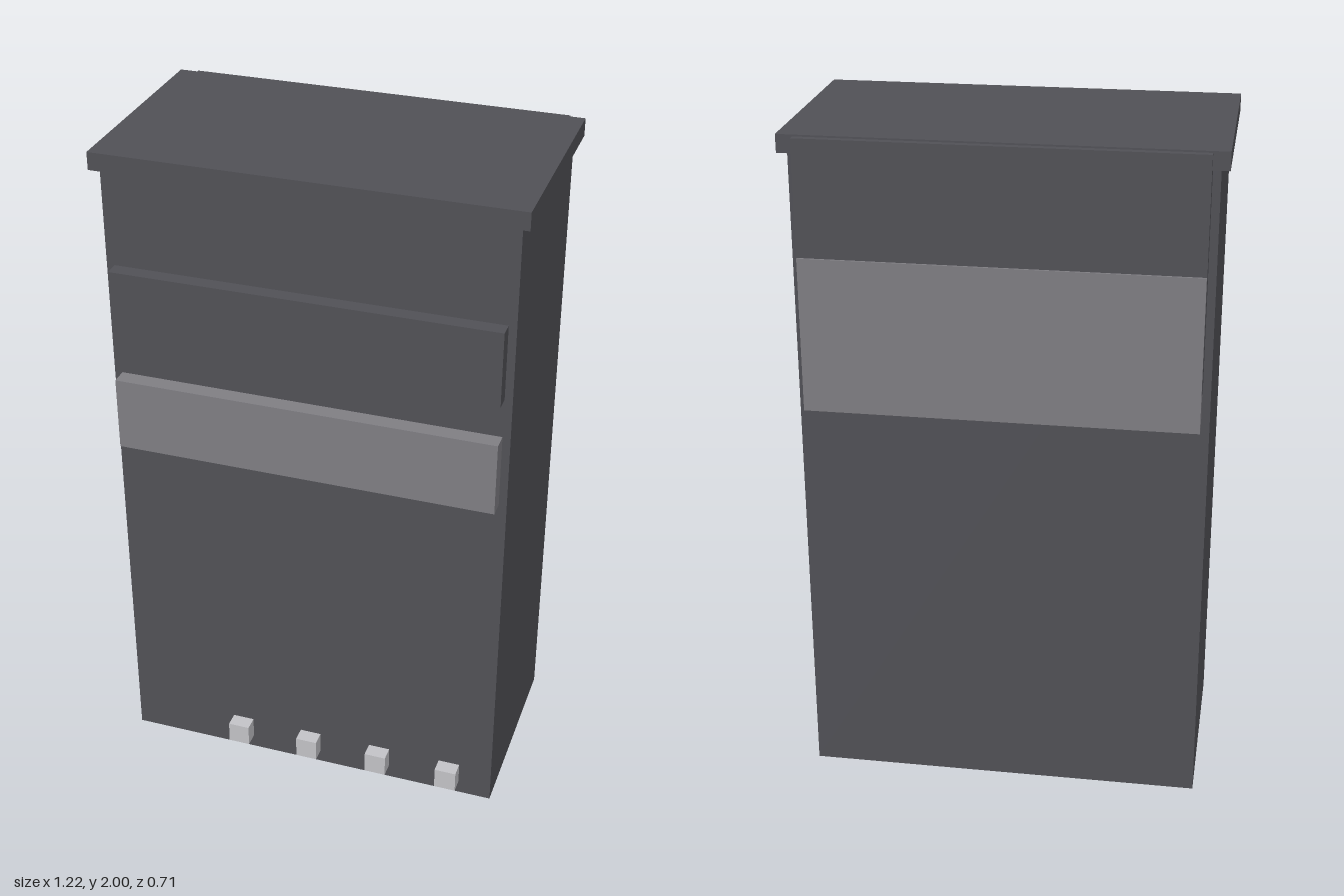
import * as THREE from 'three';

export function createModel() {
  const model = new THREE.Group();
  const material = (name, color) => {
    const m = new THREE.MeshStandardMaterial({ color });
    m.name = name;
    return m;
  };
  const dark = material('dark grey', 0x515156);
  const mid = material('mid grey', 0x7f7e83);
  const light = material('light grey', 0xc2c2c6);

  // Box given by its limits on each axis
  const box = (name, mat, [x0, x1], [y0, y1], [z0, z1]) => {
    const mesh = new THREE.Mesh(new THREE.BoxGeometry(x1 - x0, y1 - y0, z1 - z0), mat);
    mesh.position.set((x0 + x1) / 2, (y0 + y1) / 2, (z0 + z1) / 2);
    mesh.name = name;
    model.add(mesh);
  };

  // Main block and overhanging roof slab
  box('body', dark, [-0.586, 0.586], [0, 1.95], [-0.303, 0.305]);
  box('roof', dark, [-0.61, 0.61], [1.948, 2], [-0.328, 0.328]);

  // Front bands
  box('upperFrontBand', dark, [-0.563, 0.563], [1.435, 1.66], [0.28, 0.35]);
  box('lowerFrontBand', mid, [-0.563, 0.563], [1.095, 1.317], [0.28, 0.355]);

  // Back panels, the lighter one standing slightly proud
  box('upperBackPanel', dark, [-0.563, 0.563], [1.32, 1.995], [-0.348, -0.28]);
  box('lowerBackPanel', mid, [-0.562, 0.562], [1.207, 1.66], [-0.354, -0.28]);

  // Row of small blocks along the front base
  for (let i = 0; i < 4; i++) {
    const x = -0.226 + i * 0.226;
    box('frontBlock' + (i + 1), light, [x - 0.033, x + 0.033], [0.043, 0.11], [0.28, 0.35]);
  }
  return model;
}
